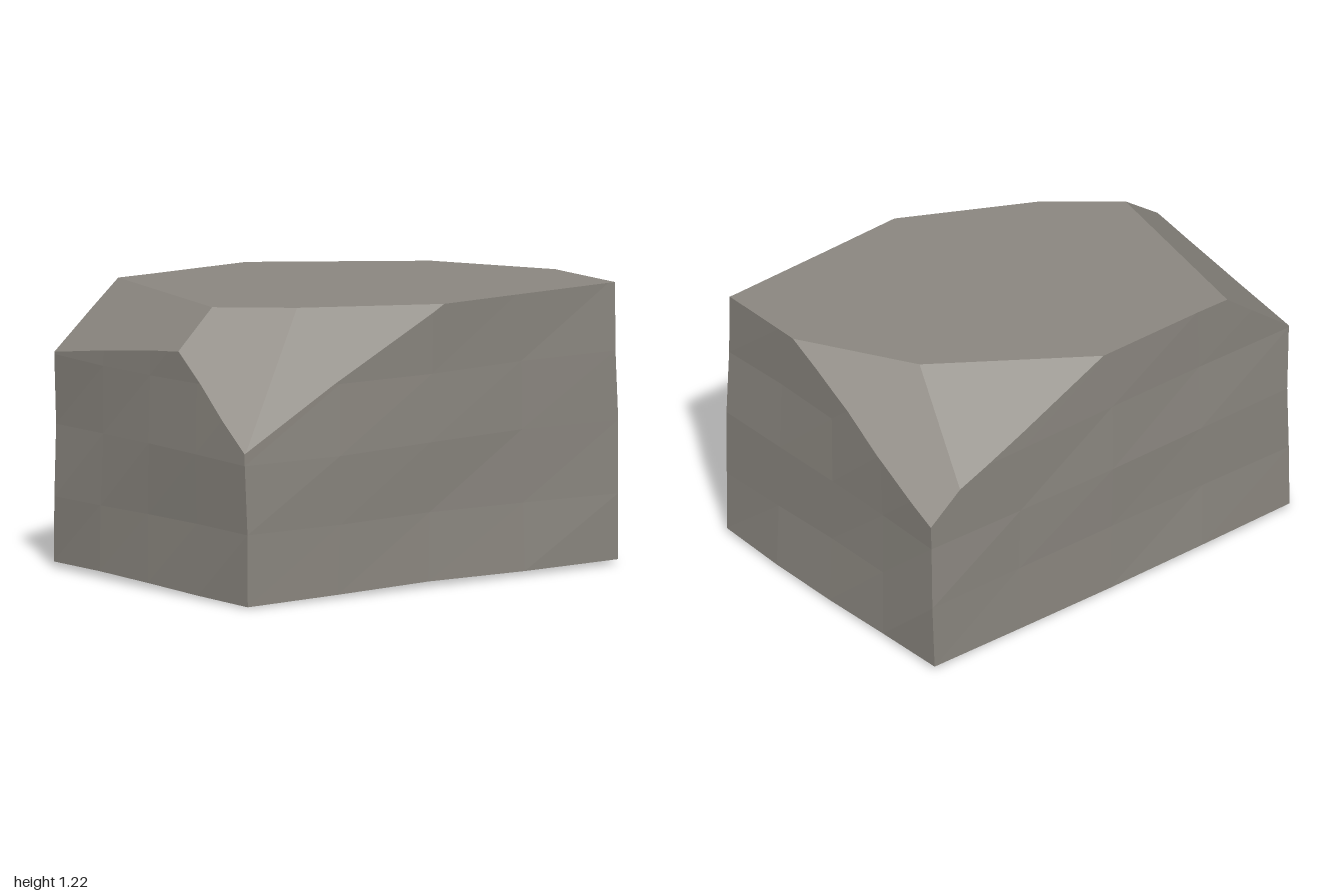
import * as THREE from 'three';

const V = (x, y, z) => new THREE.Vector3(x, y, z);

// Smooth repeatable unevenness, the same for every vertex at one place
const wobble = (p, k) => Math.sin(p.x * 5.3 + p.y * 7.1 + p.z * 6.2 + k * 2.4) * Math.cos(p.x * 3.7 - p.y * 4.3 + p.z * 8.9 + k);

// Uneven block as a list of triangles
function roughBlock() {
  const geo = new THREE.BoxGeometry(1.97, 1.22, 1.37, 4, 4, 4).toNonIndexed();
  geo.translate(0, 0.635, 0);
  const pos = geo.attributes.position;
  const polys = [];
  for (let i = 0; i < pos.count; i += 3) {
    polys.push([0, 1, 2].map((j) => {
      const p = V(0, 0, 0).fromBufferAttribute(pos, i + j);
      const q = p.clone();
      p.x += 0.014 * wobble(q, 0);
      p.z += 0.013 * wobble(q, 2);
      // the underside bulges down a little in the middle
      p.y += 0.011 * wobble(q, 1);
      if (q.y < 0.1) p.y += 0.008 - 0.022 * Math.max(0, 1 - Math.hypot(q.x, q.z) * 2);
      return p;
    }));
  }
  return polys;
}

// Slice away everything outside the plane and close the hole with a flat facet
function slice(polys, plane) {
  const kept = [], rim = new Map();
  for (const poly of polys) {
    const out = [];
    poly.forEach((a, i) => {
      const b = poly[(i + 1) % poly.length];
      const da = plane.distanceToPoint(a), db = plane.distanceToPoint(b);
      if (da <= 0) out.push(a);
      if (da <= 0 !== db <= 0) {
        const p = a.clone().lerp(b, da / (da - db));
        out.push(p);
        rim.set(p.toArray().map((c) => Math.round(c * 1e4)).join(), p);
      }
    });
    if (out.length > 2) kept.push(out);
  }
  const pts = [...rim.values()];
  if (pts.length < 3) return kept;
  const mid = pts.reduce((s, p) => s.add(p), V(0, 0, 0)).divideScalar(pts.length);
  const u = pts[0].clone().sub(mid).projectOnPlane(plane.normal).normalize();
  const v = plane.normal.clone().cross(u);
  const angle = (p) => Math.atan2(p.clone().sub(mid).dot(v), p.clone().sub(mid).dot(u));
  pts.sort((a, b) => angle(a) - angle(b));
  pts.forEach((p, i) => kept.push([mid, p, pts[(i + 1) % pts.length]]));
  return kept;
}

// Plane through three points, facing away from the middle of the rock
function cut(a, b, c) {
  const plane = new THREE.Plane().setFromCoplanarPoints(V(...a), V(...b), V(...c));
  return plane.distanceToPoint(V(0, 0.6, 0)) > 0 ? plane.negate() : plane;
}

export function createModel() {
  const group = new THREE.Group();
  group.name = 'rock';
  const stone = new THREE.MeshStandardMaterial({ color: 0x8b8780 });
  stone.name = 'warm grey stone';

  const cuts = [
    // flat top
    cut([0, 1.23, 0], [1, 1.23, 0], [0, 1.23, 1]),
    // back corner on the +x side, two facets
    cut([0.05, 1.23, -0.68], [0.69, 1.23, -0.24], [0.81, 0.89, -0.68]),
    cut([0.69, 1.23, -0.24], [0.98, 1.23, 0.25], [0.98, 0.75, -0.68]),
    // front corner on the -x side, two facets
    cut([0.04, 1.23, 0.68], [-0.5, 1.23, 0.4], [-0.98, 0.69, 0.68]),
    cut([-0.5, 1.23, 0.4], [-0.78, 1.23, 0.17], [-0.98, 0.69, 0.68]),
    // sloping shoulder along the -x side
    cut([-0.64, 1.23, -0.68], [-0.78, 1.23, 0.17], [-0.98, 0.95, -0.68]),
  ];
  const polys = cuts.reduce(slice, roughBlock());

  // Fan each polygon into flat-shaded triangles
  const verts = [];
  for (const p of polys) {
    for (let i = 1; i < p.length - 1; i++) {
      for (const q of [p[0], p[i], p[i + 1]]) verts.push(q.x, q.y, q.z);
    }
  }
  const geo = new THREE.BufferGeometry();
  geo.setAttribute('position', new THREE.Float32BufferAttribute(verts, 3));
  geo.computeBoundingBox();
  const box = geo.boundingBox;
  geo.translate(-(box.min.x + box.max.x) / 2, -box.min.y, -(box.min.z + box.max.z) / 2);
  geo.computeVertexNormals();

  const boulder = new THREE.Mesh(geo, stone);
  boulder.name = 'boulder';
  group.add(boulder);
  return group;
}
